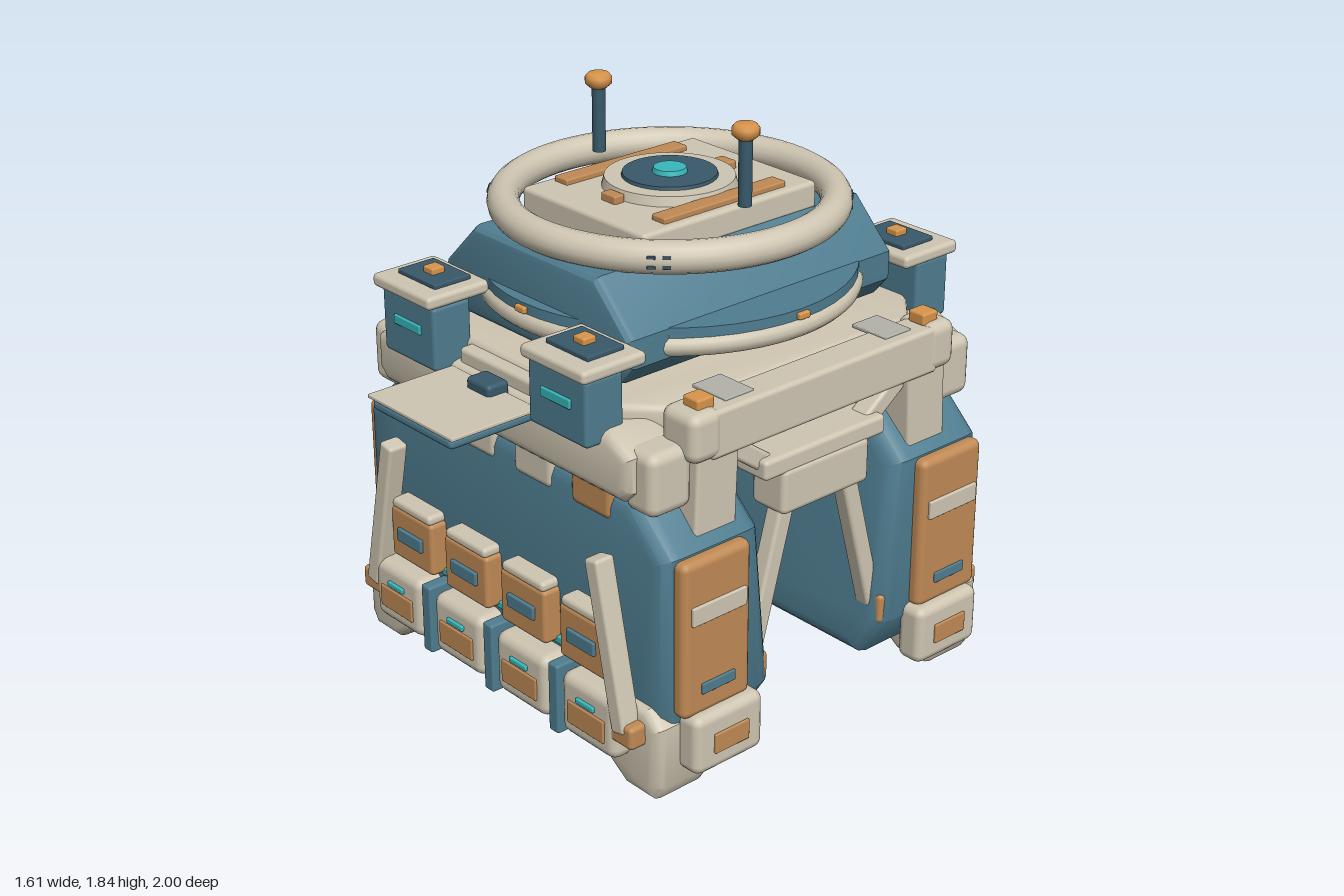
import * as THREE from 'three';
import { RoundedBoxGeometry } from 'three/addons/geometries/RoundedBoxGeometry.js';
import { toCreasedNormals } from 'three/addons/utils/BufferGeometryUtils.js';

const paint = (color) => new THREE.MeshStandardMaterial({ color });
const teal = paint(0x4f7d90), dark = paint(0x38596a), cream = paint(0xcfc6b2);
const orange = paint(0xc08a55), amber = paint(0xd8954a), cyan = paint(0x38b8bc), grey = paint(0xb2b2aa);

function add(parent, name, geometry, material, x = 0, y = 0, z = 0) {
  const mesh = new THREE.Mesh(geometry, material);
  mesh.name = name;
  mesh.position.set(x, y, z);
  parent.add(mesh);
  return mesh;
}

// Box given by its size and centre, with softened edges
function box(parent, name, material, w, h, d, x, y, z, r = 0.015) {
  const radius = Math.min(r, w * 0.45, h * 0.45, d * 0.45);
  return add(parent, name, new RoundedBoxGeometry(w, h, d, 2, radius), material, x, y, z);
}

// Outline in x and y, filled from z0 to z1 with bevelled edges
function slab(points, z0, z1, bevel, hole) {
  const shape = new THREE.Shape(points.map(([x, y]) => new THREE.Vector2(x, y)));
  if (hole) shape.holes.push(new THREE.Path().absarc(0, 0, hole, 0, Math.PI * 2, true));
  const g = new THREE.ExtrudeGeometry(shape, {
    depth: z1 - z0 - 2 * bevel, bevelThickness: bevel, bevelSize: bevel,
    bevelOffset: -bevel, bevelSegments: 3, curveSegments: 24,
  });
  return g.translate(0, 0, z0 + bevel);
}
const mirrored = (half) => [...half, ...half.slice().reverse().map(([x, y]) => [-x, y])];

// Bar of rectangular section between two points
function bar(parent, name, material, a, b, w, d) {
  const from = new THREE.Vector3(...a), to = new THREE.Vector3(...b);
  const dir = to.clone().sub(from);
  const mid = from.add(to).multiplyScalar(0.5);
  const mesh = box(parent, name, material, w, dir.length(), d, mid.x, mid.y, mid.z, 0.012);
  mesh.quaternion.setFromUnitVectors(new THREE.Vector3(0, 1, 0), dir.normalize());
  return mesh;
}

function cylinder(parent, name, material, r0, r1, y0, y1, x = 0, z = 0) {
  return add(parent, name, new THREE.CylinderGeometry(r1, r0, y1 - y0, 48), material, x, (y0 + y1) / 2, z);
}

// Large skid hull: its inner wall leans inward toward the bottom
function hullGeometry() {
  const g = slab(mirrored([[0.56, 0.94], [0.72, 0.79], [0.72, 0.25], [0.62, 0.1]]), 0.28, 0.66, 0.06);
  const p = g.attributes.position;
  for (let i = 0; i < p.count; i++) {
    if (p.getZ(i) < 0.47) {
      p.setZ(i, p.getZ(i) - 0.06 * THREE.MathUtils.clamp((0.8 - p.getY(i)) / 0.6, 0, 1));
    }
  }
  return toCreasedNormals(g, 0.6);
}

function buildHalf(name) {
  const half = new THREE.Group();
  half.name = name;
  add(half, 'hull', hullGeometry(), teal);

  // Cross beam over the hull
  const beam = slab(mirrored([[0.56, 0.93], [0.6, 0.97], [0.6, 1.08], [0.5, 1.13], [0.22, 1.11]]), 0.49, 0.69, 0.035);
  add(half, 'crossBeam', toCreasedNormals(beam, 0.6), cream);
  box(half, 'deckLip', cream, 0.42, 0.06, 0.12, 0, 1.125, 0.6);

  // Folding shelf
  box(half, 'shelf', teal, 0.38, 0.035, 0.31, 0, 1.077, 0.84);
  box(half, 'shelfTop', cream, 0.405, 0.012, 0.31, 0, 1.1, 0.845, 0.003);
  box(half, 'shelfCatch', dark, 0.11, 0.06, 0.11, 0, 1.06, 0.77);
  box(half, 'shelfHinge', dark, 0.11, 0.06, 0.08, 0, 1.11, 0.715);

  // Tiles, pouches and crates along the outer face
  for (const x of [-0.4, -0.135, 0.135, 0.4]) {
    box(half, 'topTile', Math.abs(x) > 0.2 ? orange : cream, 0.185, 0.12, 0.08, x, 0.895, 0.627, 0.025);
  }
  for (const x of [-0.42, -0.14, 0.14, 0.42]) {
    box(half, 'crate', orange, 0.215, 0.18, 0.1, x, 0.435, 0.67);
    box(half, 'crateLid', cream, 0.2, 0.035, 0.1, x, 0.535, 0.67);
    box(half, 'crateLabel', teal, 0.125, 0.045, 0.02, x, 0.437, 0.721, 0.004);
  }
  for (const x of [-0.47, -0.157, 0.157, 0.47]) {
    box(half, 'pouch', cream, 0.25, 0.21, 0.13, x, 0.215, 0.685, 0.035);
    box(half, 'pouchLabel', orange, 0.165, 0.075, 0.02, x, 0.2, 0.747, 0.004);
    box(half, 'pouchLight', cyan, 0.08, 0.018, 0.02, x, 0.257, 0.75, 0.004);
  }
  for (const x of [-0.315, 0, 0.315]) box(half, 'strap', teal, 0.045, 0.235, 0.1, x, 0.207, 0.7, 0.008);
  box(half, 'lightStrip', cyan, 1.1, 0.025, 0.04, 0, 0.35, 0.655, 0.005);

  for (const s of [1, -1]) {
    // Foot
    const foot = slab([[0.42, 0.1], [0.57, 0], [0.69, 0], [0.72, 0.05], [0.72, 0.25], [0.66, 0.3], [0.48, 0.3]]
      .map(([x, y]) => [s * x, y]), 0.47, 0.69, 0.035);
    add(half, 'foot', toCreasedNormals(foot, 0.6), cream);

    // Outer brace
    bar(half, 'outerBrace', cream, [s * 0.495, 0.75, 0.715], [s * 0.61, 0.22, 0.715], 0.06, 0.07);
    box(half, 'braceClamp', orange, 0.1, 0.075, 0.09, s * 0.615, 0.22, 0.7);

    // End panel and pouch
    box(half, 'endPanel', orange, 0.06, 0.51, 0.265, s * 0.73, 0.53, 0.492, 0.025);
    box(half, 'panelLabel', cream, 0.02, 0.06, 0.21, s * 0.76, 0.615, 0.492, 0.004);
    box(half, 'panelSlot', teal, 0.02, 0.035, 0.13, s * 0.757, 0.365, 0.492, 0.004);
    box(half, 'endPouch', cream, 0.1, 0.195, 0.27, s * 0.745, 0.19, 0.47, 0.03);
    box(half, 'endPouchLabel', orange, 0.02, 0.065, 0.135, s * 0.793, 0.187, 0.47, 0.004);

    // Leg down from the side beam, and brace across the opening
    bar(half, 'upperLeg', cream, [s * 0.635, 1.16, 0.425], [s * 0.635, 0.8, 0.44], 0.11, 0.16);
    box(half, 'shoulder', cream, 0.15, 0.155, 0.12, s * 0.63, 1.12, 0.48, 0.035);
    box(half, 'shoulderLight', amber, 0.065, 0.04, 0.065, s * 0.635, 1.207, 0.46, 0.008);
    box(half, 'shoulderPlate', grey, 0.14, 0.012, 0.11, s * 0.59, 1.19, 0.325, 0.003);
    box(half, 'legCollar', cream, 0.13, 0.2, 0.16, s * 0.6, 1.0, 0.58, 0.035);
    bar(half, 'innerBrace', cream, [s * 0.64, 0.78, 0.13], [s * 0.64, 0.3, 0.26], 0.06, 0.06);
    box(half, 'innerClamp', orange, 0.1, 0.1, 0.09, s * 0.66, 0.295, 0.285);
    bar(half, 'archBrace', cream, [s * 0.63, 0.93, 0.2], [s * 0.63, 1.06, 0.38], 0.07, 0.06);

    // Lamp box
    box(half, 'lampBox', teal, 0.26, 0.21, 0.14, s * 0.35, 1.19, 0.67);
    box(half, 'lampLid', cream, 0.285, 0.042, 0.235, s * 0.355, 1.313, 0.645);
    box(half, 'lampTop', dark, 0.185, 0.016, 0.135, s * 0.352, 1.34, 0.635, 0.004);
    box(half, 'lampBeacon', amber, 0.048, 0.025, 0.048, s * 0.352, 1.355, 0.635, 0.006);
    box(half, 'lampSlot', cyan, 0.13, 0.03, 0.016, s * 0.35, 1.206, 0.74, 0.004);
  }
  return half;
}

function buildTurret() {
  const turret = new THREE.Group();
  turret.name = 'turret';
  cylinder(turret, 'basin', dark, 0.3, 0.36, 1.03, 1.21);
  const body = slab(mirrored([[0.28, 1.49], [0.43, 1.34], [0.43, 1.25], [0.38, 1.19]]), -0.54, 0.54, 0.03);
  add(turret, 'turretBody', toCreasedNormals(body, 0.5), teal);
  cylinder(turret, 'turntable', teal, 0.58, 0.58, 1.31, 1.342);
  add(turret, 'lowerRail', new THREE.TorusGeometry(0.56, 0.034, 12, 72).rotateX(Math.PI / 2), cream, 0, 1.282, 0);
  add(turret, 'upperRing', new THREE.TorusGeometry(0.505, 0.05, 16, 72).rotateX(Math.PI / 2), cream, 0, 1.53, 0);
  for (let i = 0; i < 4; i++) {
    const a = i * Math.PI / 2;
    box(turret, 'railMarker', amber, 0.045, 0.022, 0.045, Math.sin(a) * 0.57, 1.322, Math.cos(a) * 0.57, 0.006);
    // Small vents in the upper ring
    for (const da of [-0.04, 0.04]) for (const y of [1.515, 1.545]) {
      const b = a + Math.PI / 4 + da;
      box(turret, 'ringVent', dark, 0.025, 0.01, 0.01, Math.sin(b) * 0.55, y, Math.cos(b) * 0.55, 0.002).rotation.y = b;
    }
  }

  // Roof plate, hatch and antennas
  box(turret, 'roofPlate', cream, 0.56, 0.09, 0.7, 0, 1.525, 0);
  cylinder(turret, 'hatch', cream, 0.21, 0.2, 1.56, 1.6);
  cylinder(turret, 'hatchDisc', dark, 0.15, 0.145, 1.59, 1.61);
  cylinder(turret, 'hatchLens', cyan, 0.057, 0.05, 1.6, 1.625);
  for (const s of [1, -1]) {
    box(turret, 'roofStrip', orange, 0.06, 0.025, 0.49, s * 0.222, 1.575, 0, 0.006);
    box(turret, 'hatchLatch', orange, 0.065, 0.03, 0.04, 0, 1.58, s * 0.227, 0.006);
    cylinder(turret, 'antenna', dark, 0.021, 0.021, 1.59, 1.81, s * 0.33);
    const cap = [[0, 1.795], [0.025, 1.795], [0.042, 1.81], [0.042, 1.83], [0.032, 1.842], [0, 1.842]];
    add(turret, 'antennaCap', new THREE.LatheGeometry(cap.map(([x, y]) => new THREE.Vector2(x, y)), 24), amber, s * 0.33);
  }
  return turret;
}

export function createModel() {
  const model = new THREE.Group();
  model.name = 'walkerBase';
  const back = buildHalf('backHalf');
  back.rotation.y = Math.PI;
  model.add(buildHalf('frontHalf'), back, buildTurret());

  // Deck frame with an opening for the turret
  const outline = mirrored([[0.42, 0.62], [0.56, 0.48], [0.56, -0.48], [0.42, -0.62]]);
  const deck = slab(outline, 1.05, 1.17, 0.025, 0.32);
  deck.rotateX(-Math.PI / 2);
  add(model, 'deck', toCreasedNormals(deck, 0.6), cream);

  // Side frames
  for (const s of [1, -1]) {
    box(model, 'sideBeam', cream, 0.12, 0.15, 0.93, s * 0.64, 1.115, 0, 0.015);
    box(model, 'archBeam', cream, 0.13, 0.065, 0.5, s * 0.63, 0.932, 0);
    box(model, 'archBlock', cream, 0.14, 0.15, 0.36, s * 0.63, 0.84, 0, 0.02);
  }
  return model;
}
